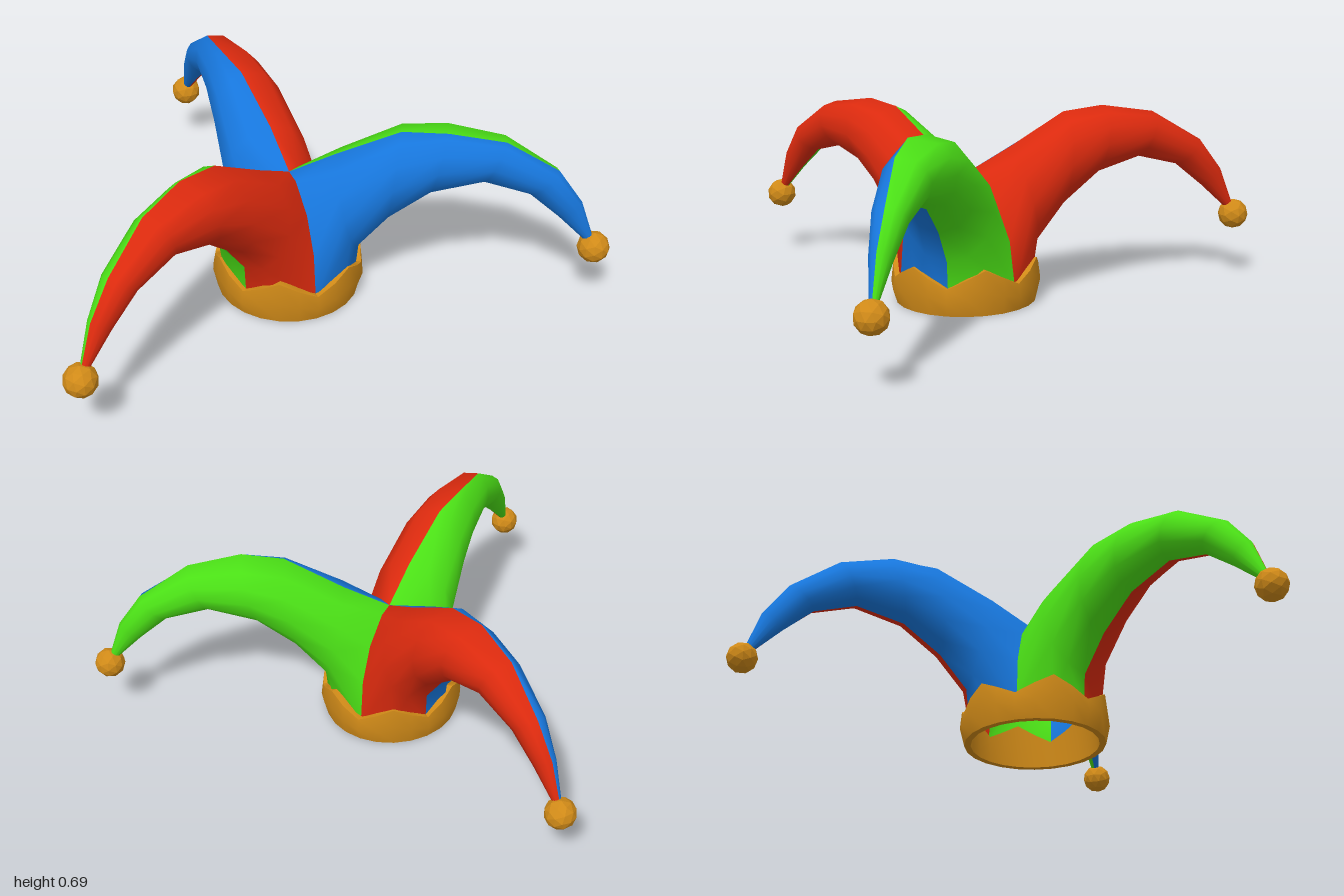
import * as THREE from 'three';
import { toCreasedNormals } from 'three/addons/utils/BufferGeometryUtils.js';

const cloth = (color) => new THREE.MeshStandardMaterial({ color, side: THREE.DoubleSide });
const RED = cloth(0xdb2a0e), GREEN = cloth(0x4be016), BLUE = cloth(0x1777dd);
const GOLD = new THREE.MeshStandardMaterial({ color: 0xd08a18 });
const GOLD_FLAT = new THREE.MeshStandardMaterial({ color: 0xd08a18, flatShading: true });

const HALF = 6; // steps from the ridge of a horn down to its underside

// Where a horn meets its neighbours and the headband: [radius, height, angle in degrees]
const ROOT = [
  [0, 0.47, 60], [0.06, 0.463, 60], [0.16, 0.38, 60], [0.225, 0.25, 60],
  [0.25, 0.08, 60], [0.25, 0.08, 30], [0.25, 0.08, 0],
];

// Cross-sections along a horn: ridge (u, y), underside (u, y), half width, ridge sway
const SECTIONS = [
  [0.17, 0.56, 0.26, 0.20, 0.165, 0],
  [0.39, 0.68, 0.36, 0.33, 0.14, 0.6],
  [0.55, 0.695, 0.50, 0.445, 0.115, 1],
  [0.75, 0.665, 0.68, 0.50, 0.085, 0.6],
  [0.94, 0.55, 0.84, 0.46, 0.06, 0],
  [1.03, 0.43, 0.95, 0.37, 0.038, 0],
  [1.09, 0.27, 1.07, 0.26, 0.012, 0],
];

// Horn pointing along +x, with one colour on each side of its ridge
function hornGeometry(sway) {
  const ring = HALF * 2;
  const positions = [], index = [];
  for (let i = 0; i <= SECTIONS.length; i++) {
    for (let j = 0; j < ring; j++) {
      const k = j <= HALF ? j : ring - j;
      const side = j <= HALF ? 1 : -1;
      if (i === 0) {
        const [r, y, deg] = ROOT[k];
        const a = THREE.MathUtils.degToRad(deg);
        positions.push(r * Math.cos(a), y, side * r * Math.sin(a));
      } else {
        const [tu, ty, bu, by, w, s] = SECTIONS[i - 1];
        const phi = (Math.PI * k) / HALF;
        const t = (1 + Math.cos(phi)) / 2;
        const shift = k === 0 ? sway * s : 0;
        positions.push(bu + (tu - bu) * t, by + (ty - by) * t, side * w * Math.sin(phi) + shift);
      }
    }
  }
  const geo = new THREE.BufferGeometry();
  for (let half = 0; half < 2; half++) {
    const start = index.length;
    for (let i = 0; i < SECTIONS.length; i++) {
      for (let j = half * HALF; j < (half + 1) * HALF; j++) {
        const n = (j + 1) % ring;
        const a = i * ring + j, b = i * ring + n;
        const c = a + ring, d = b + ring;
        index.push(a, b, c, b, d, c);
      }
    }
    geo.addGroup(start, index.length - start, half);
  }
  geo.setAttribute('position', new THREE.Float32BufferAttribute(positions, 3));
  geo.setIndex(index);
  geo.computeVertexNormals();
  return geo;
}

// Thick headband with six soft points along its upper edge
function bandGeometry() {
  const profile = [[0.238, 0], [0.262, 0], [0.278, 0.07], [0.27, 0.135], [0.238, 0.135], [0.238, 0]];
  const geo = new THREE.LatheGeometry(profile.map(([r, y]) => new THREE.Vector2(r, y)), 24);
  const p = geo.attributes.position;
  for (let i = 0; i < p.count; i++) {
    const angle = Math.atan2(p.getX(i), p.getZ(i));
    p.setY(i, p.getY(i) * (1 - 0.25 * Math.cos(6 * angle)));
  }
  return toCreasedNormals(geo, 0.9);
}

export function createModel() {
  const hat = new THREE.Group();
  hat.name = 'jesterHat';

  const body = new THREE.Group();
  body.name = 'hatBody';
  body.position.z = 0.27;
  hat.add(body);

  const band = new THREE.Mesh(bandGeometry(), GOLD);
  band.name = 'headband';
  body.add(band);

  // Three drooping horns, each ending in a bell
  const horns = [
    ['leftHorn', 30, [BLUE, GREEN], 0.045],
    ['rightHorn', 150, [GREEN, RED], 0.035],
    ['backHorn', 270, [RED, BLUE], -0.04],
  ];
  const bellGeo = new THREE.IcosahedronGeometry(0.058, 1);
  for (const [name, deg, colors, sway] of horns) {
    const group = new THREE.Group();
    group.name = name;
    group.rotation.y = -THREE.MathUtils.degToRad(deg);

    const horn = new THREE.Mesh(hornGeometry(sway), colors);
    horn.name = name + 'Cloth';
    group.add(horn);

    const bell = new THREE.Mesh(bellGeo, GOLD_FLAT);
    bell.name = name + 'Bell';
    bell.position.set(1.09, 0.245, 0);
    group.add(bell);
    body.add(group);
  }
  return hat;
}
